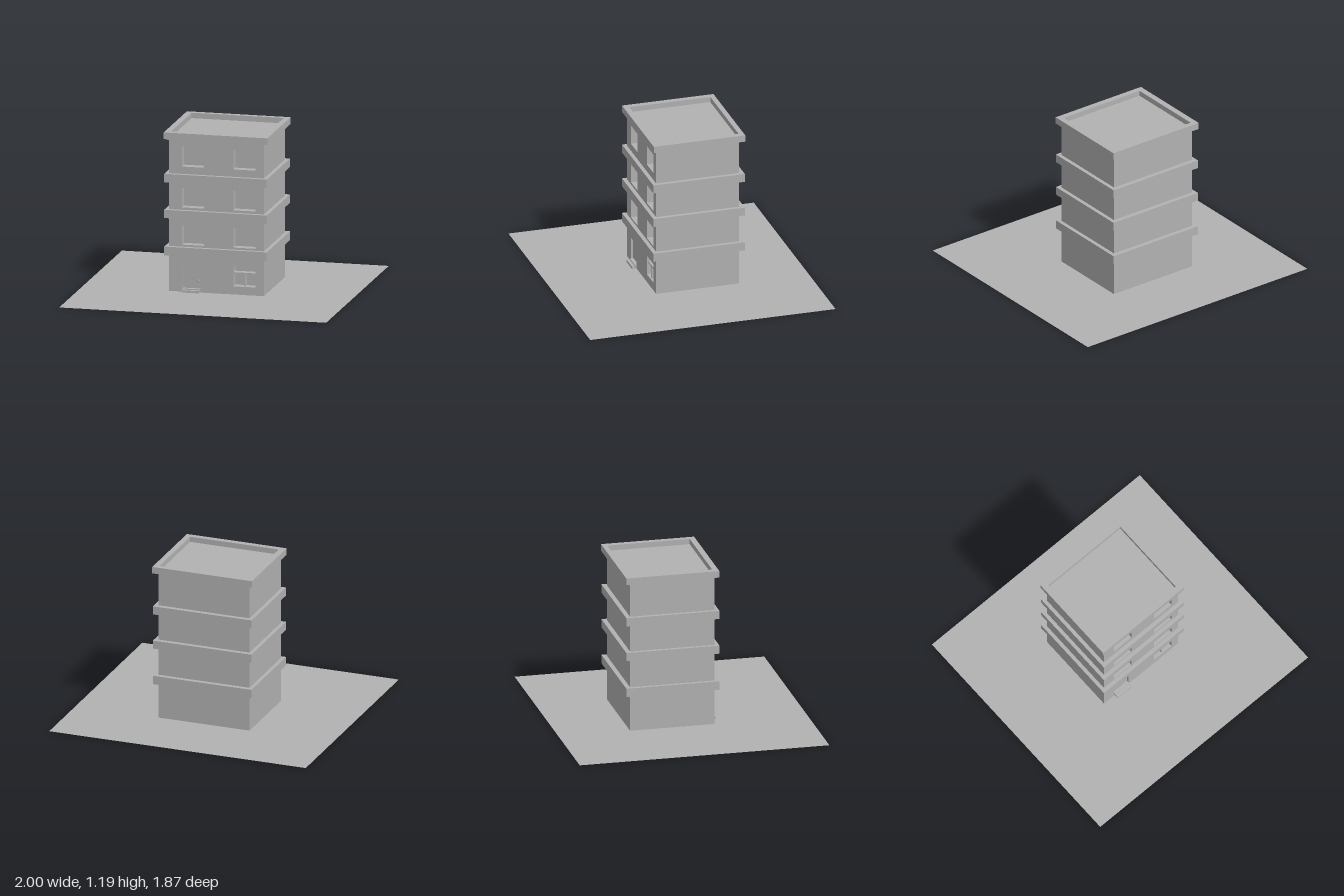
import * as THREE from 'three';

export function createModel() {
  const model = new THREE.Group();
  const concrete = new THREE.MeshStandardMaterial({ color: 0xb2b2b2 });
  concrete.name = 'concrete grey';
  const paving = new THREE.MeshStandardMaterial({ color: 0xb2b2b2, side: THREE.DoubleSide });
  paving.name = 'ground grey';

  function add(name, geometry, material = concrete) {
    const mesh = new THREE.Mesh(geometry, material);
    mesh.name = name;
    model.add(mesh);
    return mesh;
  }
  // Box given by its limits on each axis
  function box(name, x0, x1, y0, y1, z0, z1) {
    const mesh = add(name, new THREE.BoxGeometry(x1 - x0, y1 - y0, z1 - z0));
    mesh.position.set((x0 + x1) / 2, (y0 + y1) / 2, (z0 + z1) / 2);
    return mesh;
  }
  // Rectangular outline for shapes and holes
  function rect(Type, x0, x1, y0, y1) {
    return new Type([[x0, y0], [x1, y0], [x1, y1], [x0, y1]].map(([x, y]) => new THREE.Vector2(x, y)));
  }

  // Ground sheet
  add('ground', new THREE.PlaneGeometry(2, 1.867).rotateX(-Math.PI / 2), paving);

  // Building core and front wall with openings
  const base = 0.002, wallTop = 1.14, front = 0.232, recess = 0.172;
  box('buildingCore', -0.355, 0.357, base, wallTop, -0.4, recess);
  const wall = rect(THREE.Shape, -0.355, 0.357, base, wallTop);
  const columns = [[-0.257, -0.092], [0.128, 0.293]];
  const rows = [[0.352, 0.497], [0.63, 0.776], [0.935, 1.08]];
  for (const [x0, x1] of columns)
    for (const [y0, y1] of rows) wall.holes.push(rect(THREE.Path, x0, x1, y0, y1));
  wall.holes.push(rect(THREE.Path, 0.128, 0.293, 0.063, 0.21));
  wall.holes.push(rect(THREE.Path, -0.257, -0.118, 0.024, 0.188));
  const wallGeometry = new THREE.ExtrudeGeometry(wall, { depth: front - recess, bevelEnabled: false });
  add('frontWall', wallGeometry).position.z = recess;

  // Ground-floor window bars
  box('windowTransom', 0.128, 0.293, 0.155, 0.166, recess, 0.222);
  box('windowMullion', 0.204, 0.214, 0.063, 0.155, recess, 0.222);

  // Door, knob and steps
  box('door', -0.257, -0.118, 0.024, 0.188, recess, 0.215);
  add('doorKnob', new THREE.SphereGeometry(0.007, 12, 8)).position.set(-0.135, 0.088, 0.22);
  box('upperStep', -0.252, -0.122, 0.012, 0.028, 0.215, 0.244);
  box('lowerStep', -0.252, -0.122, 0.003, 0.02, 0.225, 0.267);

  // Floor bands
  for (const [y0, y1] of [[0.272, 0.337], [0.55, 0.612], [0.817, 0.88]])
    box('floorBand', -0.382, 0.386, y0, y1, -0.434, 0.262);

  // Roof slab with a raised rim
  box('roofCollar', -0.363, 0.366, 1.13, 1.139, -0.415, 0.247);
  box('roofDeck', -0.36, 0.364, 1.139, 1.148, -0.415, 0.235);
  const rim = rect(THREE.Shape, -0.387, 0.39, -0.26, 0.436);
  rim.holes.push(rect(THREE.Path, -0.342, 0.348, -0.217, 0.398));
  const rimGeometry = new THREE.ExtrudeGeometry(rim, { depth: 0.05, bevelEnabled: false });
  add('roofRim', rimGeometry.rotateX(-Math.PI / 2)).position.y = 1.138;

  return model;
}
